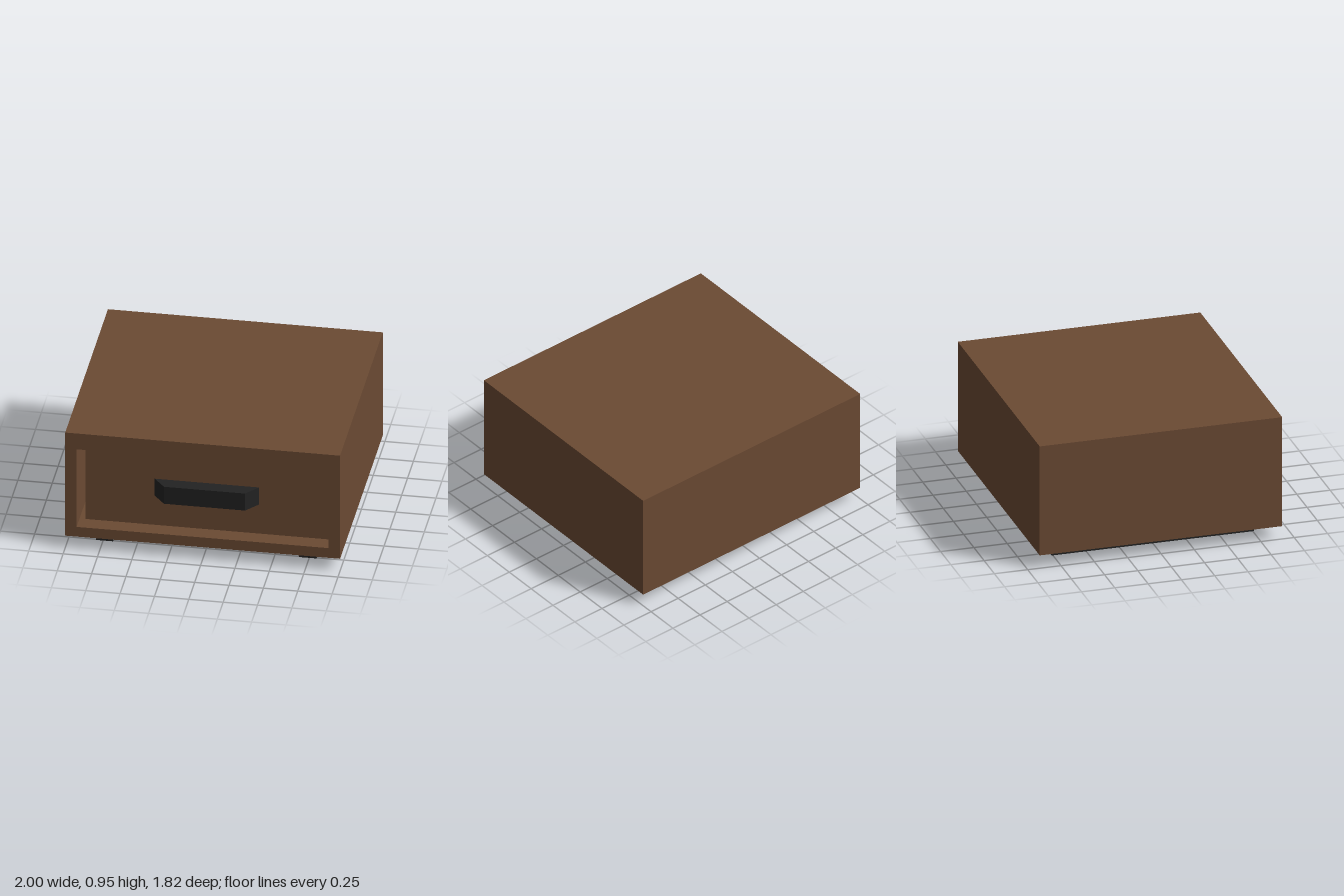
import * as THREE from 'three';

export function createModel() {
  const model = new THREE.Group();
  const wood = new THREE.MeshStandardMaterial({ color: 0x6b4a33 });
  wood.name = 'brown wood';
  const black = new THREE.MeshStandardMaterial({ color: 0x222222 });
  black.name = 'black';

  const add = (name, geometry, material, x = 0, y = 0, z = 0) => {
    const mesh = new THREE.Mesh(geometry, material);
    mesh.name = name;
    mesh.position.set(x, y, z);
    model.add(mesh);
    return mesh;
  };
  // Box given by its limits on each axis
  const box = (name, material, [x0, x1], [y0, y1], [z0, z1]) =>
    add(name, new THREE.BoxGeometry(x1 - x0, y1 - y0, z1 - z0), material,
      (x0 + x1) / 2, (y0 + y1) / 2, (z0 + z1) / 2);
  const polygon = (points) => points.map(([x, y]) => new THREE.Vector2(x, y));

  // Cabinet: a square tube open at the front, closed by a back panel
  const outline = new THREE.Shape(polygon([[-1, 0.1], [1, 0.1], [1, 0.95], [-1, 0.95]]));
  outline.holes.push(new THREE.Path(polygon(
    [[-0.917, 0.18], [-0.917, 0.82], [0.915, 0.82], [0.915, 0.18]])));
  add('cabinet', new THREE.ExtrudeGeometry(outline, { depth: 1.82, bevelEnabled: false }),
    wood, 0, 0, -0.91);
  box('backPanel', wood, [-0.917, 0.915], [0.18, 0.82], [-0.91, -0.83]);

  // Drawer, set back from the opening with a narrow gap around it
  box('drawer', wood, [-0.875, 0.9], [0.18, 0.78], [-0.75, 0.785]);

  // Handle: a bar with slanted ends, drawn in plan and extruded upwards
  const plan = new THREE.Shape(polygon(
    [[-0.37, -0.785], [-0.285, -0.89], [0.305, -0.89], [0.39, -0.785]]));
  const handle = new THREE.ExtrudeGeometry(plan, { depth: 0.14, bevelEnabled: false });
  handle.rotateX(-Math.PI / 2);
  add('handle', handle, black, 0, 0.42, 0);

  // Two runners underneath
  for (const [name, side] of [['leftRunner', 1], ['rightRunner', -1]]) {
    add(name, new THREE.BoxGeometry(0.126, 0.1, 1.52), black, side * 0.74, 0.05, 0);
  }
  return model;
}
